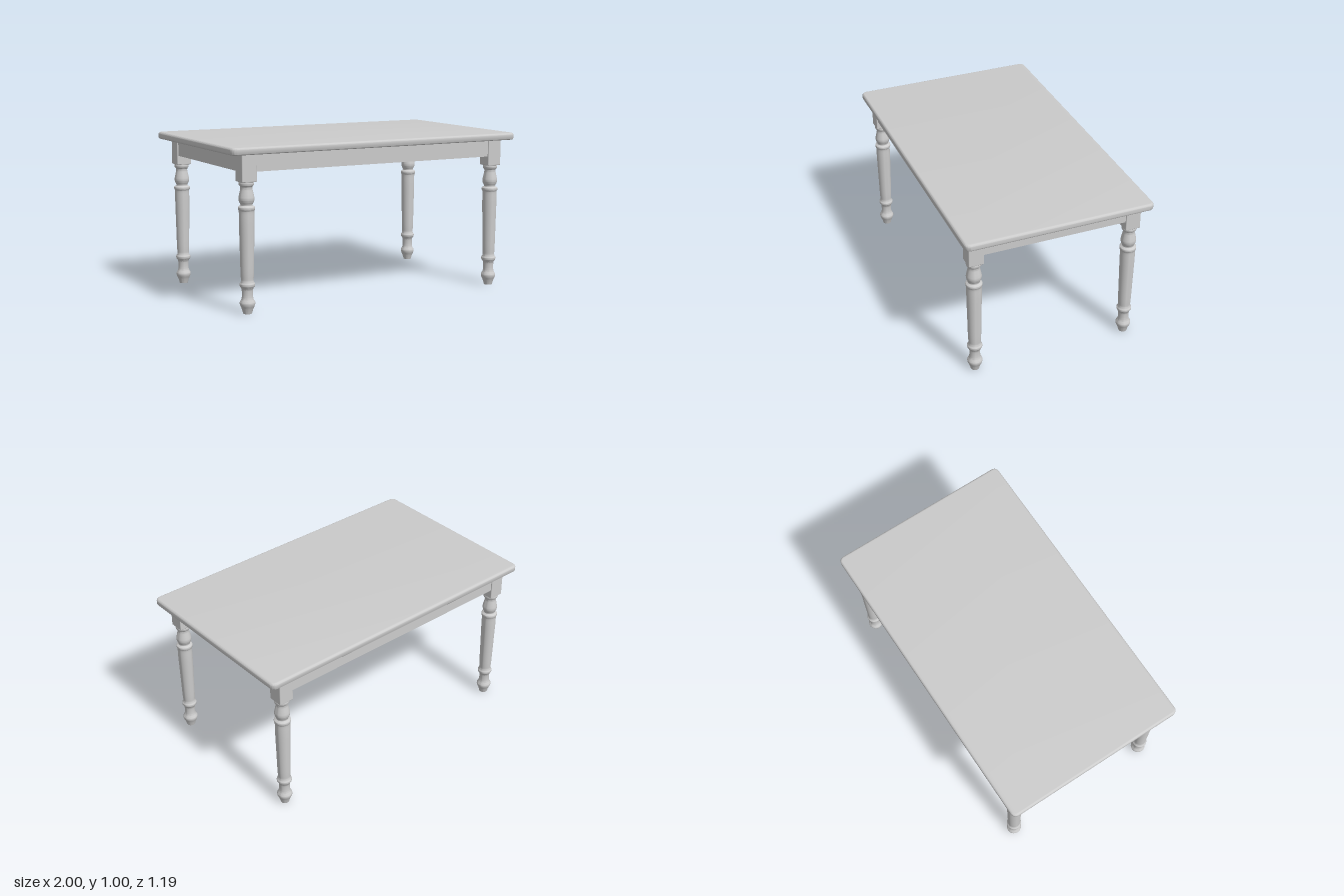
import * as THREE from 'three';
import { toCreasedNormals } from 'three/addons/utils/BufferGeometryUtils.js';
import { RoundedBoxGeometry } from 'three/addons/geometries/RoundedBoxGeometry.js';

const material = new THREE.MeshStandardMaterial({ color: 0xcccccc });

const TOP_Y = 1, TOP_THICKNESS = 0.045;
const UNDERSIDE = TOP_Y - TOP_THICKNESS;
const LEG_X = 0.87, LEG_Z = 0.502;
const BLOCK = 0.096, BLOCK_BOTTOM = 0.79;
const APRON_HEIGHT = 0.105, APRON_THICKNESS = 0.035, APRON_INSET = 0.008;

function addMesh(parent, name, geometry, x = 0, y = 0, z = 0) {
  const mesh = new THREE.Mesh(geometry, material);
  mesh.name = name;
  mesh.position.set(x, y, z);
  parent.add(mesh);
  return mesh;
}

// Board with softly rounded corners and a rounded edge
function tabletopGeometry() {
  const bevel = 0.014, r = 0.02;
  const hx = 1 - bevel, hz = 0.596 - bevel;
  const shape = new THREE.Shape();
  shape.moveTo(-hx + r, -hz);
  shape.lineTo(hx - r, -hz);
  shape.absarc(hx - r, -hz + r, r, -Math.PI / 2, 0);
  shape.absarc(hx - r, hz - r, r, 0, Math.PI / 2);
  shape.absarc(-hx + r, hz - r, r, Math.PI / 2, Math.PI);
  shape.absarc(-hx + r, -hz + r, r, Math.PI, Math.PI * 1.5);
  const geometry = new THREE.ExtrudeGeometry(shape, {
    depth: TOP_THICKNESS - 2 * bevel, bevelSize: bevel, bevelThickness: bevel,
    bevelSegments: 5, curveSegments: 6,
  });
  geometry.rotateX(-Math.PI / 2);
  geometry.translate(0, UNDERSIDE + bevel, 0);
  return toCreasedNormals(geometry, 0.6);
}

// Turned leg: [radius, height] from foot to collar
function turnedLegGeometry() {
  const profile = [
    [0.026, 0], [0.035, 0.03], [0.045, 0.053], [0.046, 0.07], [0.036, 0.09],
    [0.033, 0.115], [0.035, 0.15], [0.045, 0.167], [0.046, 0.182], [0.038, 0.198],
    [0.040, 0.25], [0.043, 0.4], [0.046, 0.55], [0.046, 0.615],
    [0.050, 0.625], [0.050, 0.642], [0.037, 0.650], [0.038, 0.660],
    [0.045, 0.675], [0.047, 0.695], [0.041, 0.725], [0.036, 0.75],
    [0.038, 0.764], [0.045, 0.771], [0.046, 0.785], [0.042, 0.795],
  ].map(([r, y]) => new THREE.Vector2(r, y));
  const points = new THREE.SplineCurve(profile).getPoints(100);
  points.unshift(new THREE.Vector2(0, 0));
  return toCreasedNormals(new THREE.LatheGeometry(points, 32), 0.9);
}

export function createModel() {
  const table = new THREE.Group();
  table.name = 'diningTable';

  addMesh(table, 'tabletop', tabletopGeometry());

  // Legs: square block above a turned shaft
  const shaft = turnedLegGeometry();
  const blockHeight = UNDERSIDE - BLOCK_BOTTOM + 0.005;
  const block = new RoundedBoxGeometry(BLOCK, blockHeight, BLOCK, 2, 0.005);
  for (const sx of [1, -1]) {
    for (const sz of [1, -1]) {
      const leg = new THREE.Group();
      leg.name = (sz > 0 ? 'front' : 'back') + (sx > 0 ? 'Left' : 'Right') + 'Leg';
      leg.position.set(sx * LEG_X, 0, sz * LEG_Z);
      addMesh(leg, 'turnedShaft', shaft);
      addMesh(leg, 'legBlock', block, 0, BLOCK_BOTTOM + blockHeight / 2, 0);
      table.add(leg);
    }
  }

  // Aprons running between the leg blocks, set slightly in from their faces
  const apronY = UNDERSIDE - APRON_HEIGHT / 2;
  const offset = BLOCK / 2 - APRON_INSET - APRON_THICKNESS / 2;
  const longApron = new THREE.BoxGeometry(2 * LEG_X - BLOCK + 0.01, APRON_HEIGHT, APRON_THICKNESS);
  const endApron = new THREE.BoxGeometry(APRON_THICKNESS, APRON_HEIGHT, 2 * LEG_Z - BLOCK + 0.01);
  for (const s of [1, -1]) {
    addMesh(table, s > 0 ? 'frontApron' : 'backApron', longApron, 0, apronY, s * (LEG_Z + offset));
    addMesh(table, s > 0 ? 'leftApron' : 'rightApron', endApron, s * (LEG_X + offset), apronY, 0);
  }
  return table;
}
